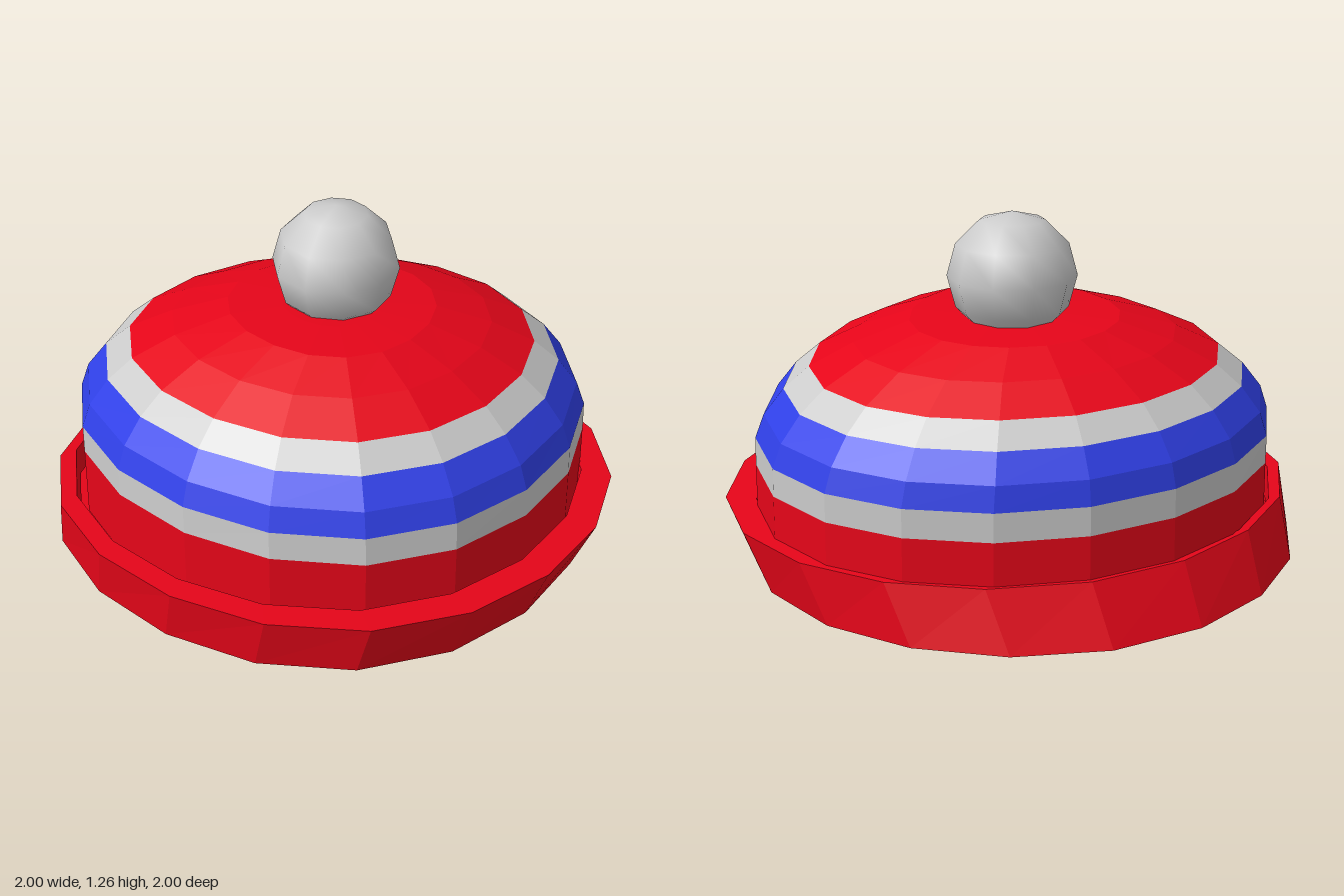
import * as THREE from 'three';

const SIDES = 18;
const PHASE = THREE.MathUtils.degToRad(-1.5);

// Skins a stack of tilted rings: [cx, cy, cz, rx, rz, slopeX, slopeZ].
// bow slides the flanks backwards, so the outline is narrower in front than behind.
function loft(name, color, bow, rings) {
  const pos = [], index = [];
  for (const [cx, cy, cz, rx, rz, sx, sz] of rings) {
    for (let i = 0; i < SIDES; i++) {
      const a = PHASE + (i / SIDES) * Math.PI * 2;
      const squeeze = 1 - 0.016 * Math.sin(2 * a) ** 2;
      const dx = rx * squeeze * Math.sin(a);
      const dz = rz * (squeeze * Math.cos(a) - bow * Math.sin(a) ** 2);
      pos.push(cx + dx, cy + sx * dx + sz * dz, cz + dz);
    }
  }
  for (let r = 0; r < rings.length - 1; r++) {
    for (let i = 0; i < SIDES; i++) {
      const j = (i + 1) % SIDES, lo = r * SIDES, hi = lo + SIDES;
      if (rings[r][3] > 0) index.push(lo + i, lo + j, hi + j);
      if (rings[r + 1][3] > 0) index.push(lo + i, hi + j, hi + i);
    }
  }
  const indexed = new THREE.BufferGeometry();
  indexed.setAttribute('position', new THREE.Float32BufferAttribute(pos, 3));
  indexed.setIndex(index);
  const geo = indexed.toNonIndexed();
  geo.computeVertexNormals();
  const mat = new THREE.MeshStandardMaterial({ color, flatShading: true, side: THREE.DoubleSide });
  const mesh = new THREE.Mesh(geo, mat);
  mesh.name = name;
  return mesh;
}

export function createModel() {
  const hat = new THREE.Group();
  hat.name = 'bobbleHat';
  const red = 0xe60519, blue = 0x3040e8, grey = 0xcccccc;

  // Turned-up brim: closed underside, leaning outer wall, top lip, inner wall
  hat.add(loft('brim', red, 0.05, [
    [-0.04, 0.049, -0.02, 0, 0, 0, 0],
    [-0.04, 0.049, -0.02, 0.975, 0.98, -0.02, 0.048],
    [0, 0.25, 0.045, 1.01, 0.955, -0.022, 0.042],
    [-0.02, 0.25, 0, 0.93, 0.885, -0.022, 0.042],
    [-0.02, 0.14, -0.01, 0.92, 0.88, -0.022, 0.045],
  ]));

  // Crown: striped bands cut from one slightly tilted dome
  const ring = (y, rx, rz) => [0.004, y, -0.025 - 0.1 * Math.max(0, y - 0.45), rx, rz, -0.024, 0.044];
  const base = ring(0.14, 0.915, 0.87);
  const stripe1 = ring(0.4, 0.915, 0.87);
  const stripe2 = ring(0.5, 0.915, 0.865);
  const stripe3 = ring(0.675, 0.815, 0.77);
  const stripe4 = ring(0.75, 0.725, 0.685);
  const band = (name, color, ...rings) => hat.add(loft(name, color, 0.085, rings));
  band('lowerBand', red, base, stripe1);
  band('lowerStripe', grey, stripe1, stripe2);
  band('middleBand', blue, stripe2, ring(0.585, 0.885, 0.84), stripe3);
  band('upperStripe', grey, stripe3, stripe4);
  band('crownTop', red, stripe4, ring(0.825, 0.57, 0.535), ring(0.888, 0.37, 0.375),
    ring(0.9, 0.18, 0.18), ring(0.902, 0, 0));

  // Smooth low-sided bobble
  const bobble = new THREE.Mesh(
    new THREE.SphereGeometry(0.226, 10, 6),
    new THREE.MeshStandardMaterial({ color: grey }),
  );
  bobble.name = 'bobble';
  bobble.rotation.y = Math.PI / 2;
  bobble.position.set(0.02, 1.035, -0.113);
  hat.add(bobble);

  return hat;
}
